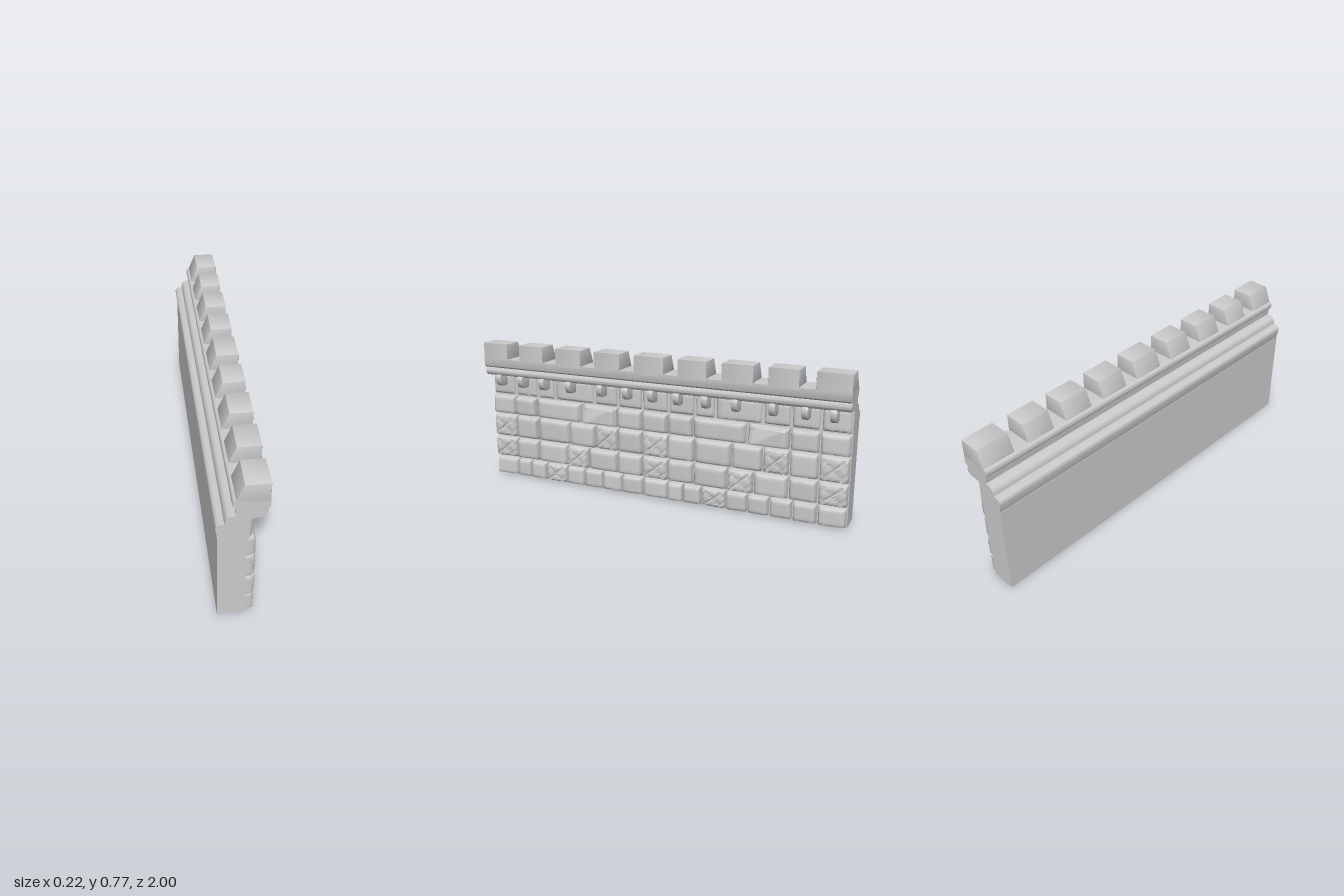
import * as THREE from 'three';
import { toCreasedNormals } from 'three/addons/utils/BufferGeometryUtils.js';

const material = new THREE.MeshStandardMaterial({ color: 0xcccccc, roughness: 0.9 });

// Small seeded generator for the hand-cut irregularity
let seed = 7;
const rand = () => {
  seed = (seed * 16807) % 2147483647;
  return seed / 2147483647;
};
const vary = (a) => (rand() * 2 - 1) * a;

function addMesh(parent, name, geometry) {
  const mesh = new THREE.Mesh(geometry, material);
  mesh.name = name;
  parent.add(mesh);
  return mesh;
}

// Sweeps an x-y section along z between z0 and z1
function sweep(shape, z0, z1, bevel = 0) {
  const g = new THREE.ExtrudeGeometry(shape, {
    depth: z1 - z0 - 2 * bevel, curveSegments: 8, bevelEnabled: bevel > 0,
    bevelThickness: bevel, bevelSize: bevel, bevelOffset: -bevel, bevelSegments: 2,
  });
  g.translate(0, 0, z0 + bevel);
  return toCreasedNormals(g, 0.6);
}

const polygon = (pts) => new THREE.Shape(pts.map(([x, y]) => new THREE.Vector2(x, y)));

// Wall core, set back behind the stones
const coreShape = () => polygon([[-0.105, 0], [0.018, 0], [0.018, 0.48], [-0.105, 0.48]]);

// Rounded back mouldings, parapet and overhanging front band
function corniceShape() {
  const s = new THREE.Shape();
  s.moveTo(0.03, 0.466);
  s.lineTo(-0.098, 0.468);
  s.lineTo(-0.102, 0.478);
  s.lineTo(-0.113, 0.53);
  s.quadraticCurveTo(-0.113, 0.557, -0.092, 0.557);
  s.lineTo(-0.076, 0.56);
  s.quadraticCurveTo(-0.074, 0.598, -0.045, 0.6);
  s.lineTo(-0.029, 0.604);
  s.lineTo(-0.032, 0.642);
  s.quadraticCurveTo(-0.044, 0.645, -0.045, 0.66);
  s.quadraticCurveTo(-0.045, 0.682, -0.03, 0.683);
  s.lineTo(0.11, 0.683);
  s.lineTo(0.11, 0.64);
  s.quadraticCurveTo(0.108, 0.634, 0.092, 0.63);
  s.lineTo(0.1, 0.615);
  s.quadraticCurveTo(0.1, 0.588, 0.082, 0.586);
  s.lineTo(0.025, 0.582);
  return s;
}

// Curved bracket under the band
function corbelShape() {
  const s = new THREE.Shape();
  s.moveTo(0.015, 0.592);
  s.lineTo(0.1, 0.592);
  s.quadraticCurveTo(0.11, 0.585, 0.108, 0.565);
  s.quadraticCurveTo(0.1, 0.527, 0.07, 0.527);
  s.lineTo(0.015, 0.53);
  return s;
}

// Pillow-faced stone filling z0..z1 and y0..y1; rough ones have chiselled crosses
function stoneGeometry(z0, z1, y0, y1, face, rough) {
  const n = rough ? 18 : 12, back = 0.008;
  const g = new THREE.PlaneGeometry(2, 2, n, n);
  g.rotateY(Math.PI / 2);
  const p = g.attributes.position;
  const w = (z1 - z0) / 2 - 0.004, h = (y1 - y0) / 2 - 0.004;
  const zc = (z0 + z1) / 2, yc = (y0 + y1) / 2;
  const tiltY = vary(0.003), tiltZ = vary(0.003), bendY = vary(0.003), bendZ = vary(0.003);
  for (let i = 0; i < p.count; i++) {
    const u = Math.sin(p.getZ(i) * Math.PI / 2), v = Math.sin(p.getY(i) * Math.PI / 2);
    const edge = Math.sqrt(Math.max(0, (1 - Math.abs(u) ** 14) * (1 - Math.abs(v) ** 14)));
    let x = face + tiltY * v + tiltZ * u;
    if (rough) {
      const groove = Math.min(Math.abs(Math.sin(2.6 * (u + v))), Math.abs(Math.sin(2.6 * (u - v))));
      x += 0.012 * Math.min(groove, 0.5) - 0.006 + vary(0.0012);
    }
    const y = yc + h * v + bendY * u * (1 - v * v) + vary(0.0006) * edge;
    const z = zc + w * u + bendZ * v * (1 - u * u);
    p.setXYZ(i, back + (x - back) * edge, y, z);
  }
  return toCreasedNormals(g, 0.9);
}

export function createModel() {
  const group = new THREE.Group();
  group.name = 'battlementWall';
  addMesh(group, 'wallCore', sweep(coreShape(), -1, 1));
  addMesh(group, 'cornice', sweep(corniceShape(), -1, 1));

  // Courses: joints run from one end over a repeating bay; rough lists the chiselled stones
  const bay = 0.9276, start = 0.855;
  const courses = [
    { y: [0, 0.105], face: 0.057, joints: [0, 0.086, 0.187, 0.32, 0.434, 0.545, 0.662, 0.785], rough: [2] },
    { y: [0.105, 0.225], face: 0.06, joints: [0, 0.14, 0.325, 0.46, 0.637, 0.78], rough: [2, 5] },
    { y: [0.225, 0.357], face: 0.058, joints: [0, 0.145, 0.343, 0.503, 0.637, 0.78], rough: [3, 5] },
    { y: [0.357, 0.467], face: 0.06, joints: [0, 0.135, 0.418, 0.637, 0.78], rough: [] },
    { y: [0.467, 0.59], face: 0.043, joints: [0, 0.145, 0.252, 0.498, 0.637, 0.78], rough: [] },
  ];
  courses.forEach(({ y, face, joints, rough }, row) => {
    const course = new THREE.Group();
    course.name = 'stoneCourse' + (row + 1);
    group.add(course);
    for (let b = -1; b < 2; b++) {
      joints.forEach((j, k) => {
        const next = k + 1 < joints.length ? joints[k + 1] : bay;
        const z1 = start - b * bay - j, z0 = start - b * bay - next;
        if (z0 > 0.95 || z1 < -0.95) return;
        const end = z1 > 0.99 || z0 < -0.99;
        const boulder = row === 3 && k === 2;
        const geo = stoneGeometry(Math.max(z0, -1.003), Math.min(z1, 1.003), y[0], y[1],
          face + (boulder ? 0.006 : end ? 0 : vary(0.003)), rough.includes(k));
        // The large broken stone slants forward toward one lower corner
        if (boulder) {
          const p = geo.attributes.position, zm = (z0 + z1) / 2;
          for (let i = 0; i < p.count; i++) {
            const s = (p.getZ(i) - zm) * 8 + (p.getY(i) - 0.41) * 14;
            if (p.getX(i) > 0.03) p.setX(i, p.getX(i) - 0.022 * Math.min(Math.max(s, 0), 1));
          }
          geo.computeVertexNormals();
        }
        addMesh(course, 'stone', geo);
      });
    }
  });

  // Corbels
  const corbels = [0.92, 0.78, 0.645, 0.48, 0.292, 0.142, 0, -0.14, -0.29, -0.445, -0.63, -0.787, -0.92];
  corbels.forEach((z) => addMesh(group, 'corbel', sweep(corbelShape(), z - 0.016, z + 0.016, 0.004)));

  // Merlons with a sloped back
  const merlonShape = polygon([[-0.03, 0.67], [0.11, 0.67], [0.11, 0.766], [0.004, 0.766], [-0.03, 0.684]]);
  const merlons = [[-1, -0.835], [-0.757, -0.61], [-0.537, -0.38], [-0.303, -0.152], [-0.075, 0.088],
    [0.167, 0.315], [0.395, 0.545], [0.625, 0.772], [0.848, 1]];
  merlons.forEach(([z0, z1]) => addMesh(group, 'merlon', sweep(merlonShape, z0, z1, 0.003)));

  return group;
}
